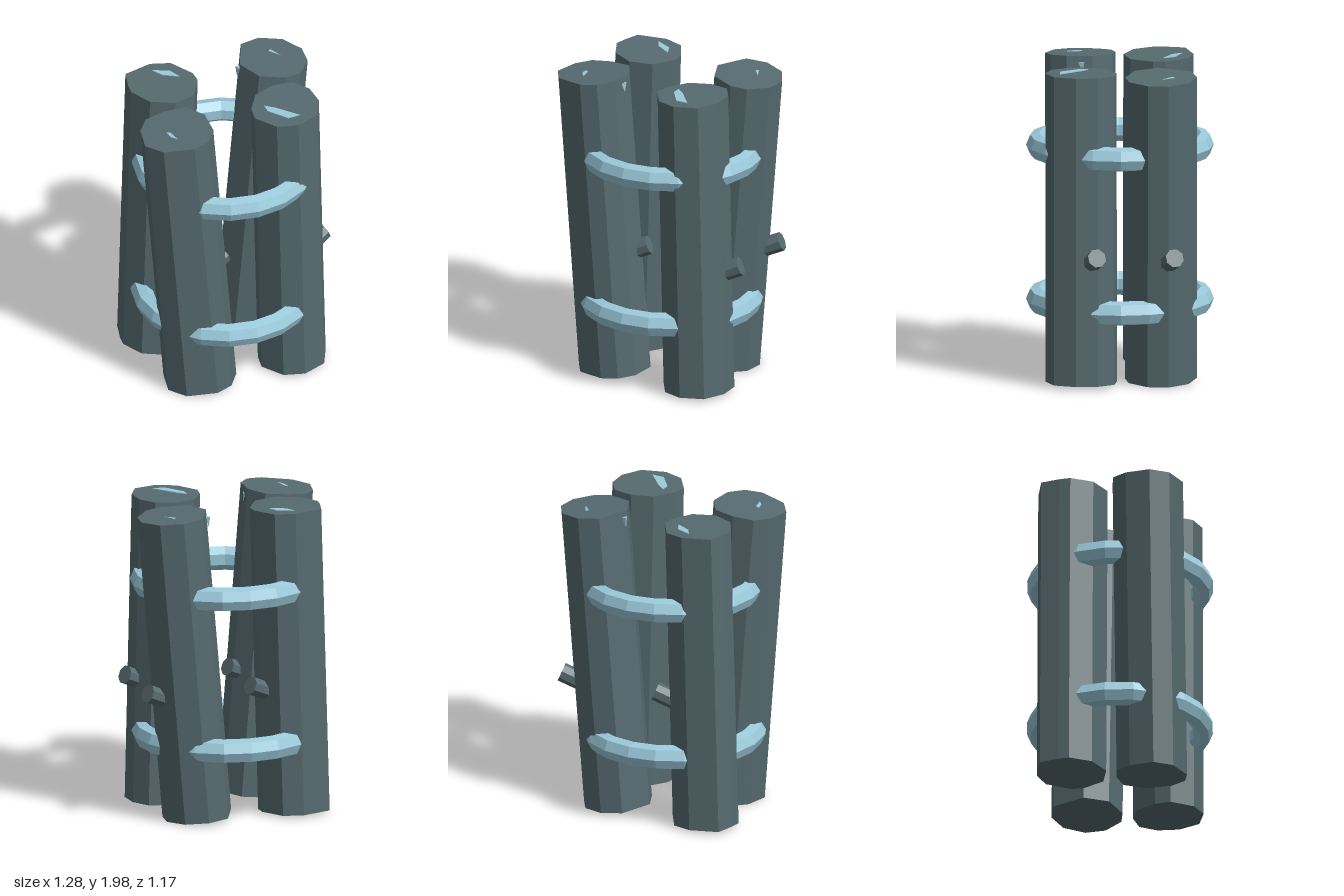
import * as THREE from 'three';

const wood = new THREE.MeshStandardMaterial({ color: 0x566b70, flatShading: true });
wood.name = 'slate wood';
const ice = new THREE.MeshStandardMaterial({ color: 0x9bcadb, flatShading: true });
ice.name = 'pale blue';

const UNIT = 1 / 285; // outline points are in 1/285 of a unit
const LENGTH = 1.95;

// Each log: bottom and top centre x, z, rough outline [x, z], patch on the cut top,
// and which side carries a small splinter (0 = none)
const LOGS = [
  { name: 'frontRight', x0: -0.275, x1: -0.43, z: 0.245, splinter: 1, pegTip: [-0.04, 0.15],
    outline: [[-64, 14], [-56, -30], [-36, -56], [1, -63], [41, -57], [64, -22], [62, 25], [42, 53], [12, 62], [-41, 46]],
    patch: [[-17, -4], [-10, 0], [-5, 23], [-14, 12]] },
  { name: 'frontLeft', x0: 0.35, x1: 0.305, z: 0.245, splinter: 0, pegTip: [0.63, 0.15],
    outline: [[-64, 15], [-60, -14], [-38, -49], [0, -63], [36, -58], [57, -29], [60, 10], [42, 49], [0, 64], [-37, 53]],
    patch: [[-36, -12], [-20, 1], [13, 38], [-10, 38], [-36, 5]] },
  { name: 'backRight', x0: -0.375, x1: -0.32, z: -0.245, splinter: 0, pegTip: [-0.04, -0.335],
    outline: [[-64, 6], [-62, -14], [-54, -48], [-2, -62], [34, -52], [60, -11], [61, 11], [39, 51], [-2, 63], [-43, 44]],
    patch: [[-6, -42], [24, -29], [34, -8], [5, -24]] },
  { name: 'backLeft', x0: 0.245, x1: 0.41, z: -0.255, splinter: -1, pegTip: [0.63, -0.335],
    outline: [[-63, 5], [-39, -53], [-1, -63], [39, -48], [62, -12], [59, 25], [32, 58], [2, 65], [-43, 48]],
    patch: [[1, -20], [6, -23], [17, -2], [6, -14]] },
];

// Upright prism from an [x, z] outline
function prism(points, height) {
  const shape = new THREE.Shape(points.map(([x, z]) => new THREE.Vector2(x * UNIT, -z * UNIT)));
  const geo = new THREE.ExtrudeGeometry(shape, { depth: height, bevelEnabled: false });
  return geo.rotateX(-Math.PI / 2);
}

function addMesh(parent, name, geometry, material) {
  const mesh = new THREE.Mesh(geometry, material);
  mesh.name = name;
  parent.add(mesh);
  return mesh;
}

function makeLog(d) {
  const log = new THREE.Group();
  log.name = d.name + 'Log';
  addMesh(log, 'trunk', prism(d.outline, LENGTH), wood);
  // Pale patch on the cut top
  addMesh(log, 'topPatch', prism(d.patch, 0.005), ice).position.y = LENGTH;
  // Small splinter in the side just under the rim
  if (d.splinter) {
    const splinter = addMesh(log, 'splinter', new THREE.CylinderGeometry(0.03, 0.008, 0.06, 3), ice);
    splinter.scale.x = 0.5;
    splinter.position.set(d.splinter * 0.219, LENGTH - 0.07, -0.01);
  }
  log.position.set(d.x0, 0.02, d.z);
  log.rotation.z = -Math.atan2(d.x1 - d.x0, LENGTH);
  return log;
}

// Branch stub pointing outward, upward and slightly back
function makePeg(d) {
  const dir = new THREE.Vector3(1, 0.45, -0.35).normalize();
  const length = 0.3;
  const peg = new THREE.Mesh(new THREE.CylinderGeometry(0.06, 0.06, length, 8), wood);
  peg.name = d.name + 'Peg';
  peg.quaternion.setFromUnitVectors(new THREE.Vector3(0, 1, 0), dir);
  peg.position.set(d.pegTip[0] - 0.03, 0.85, d.pegTip[1]).addScaledVector(dir, -length / 2);
  return peg;
}

export function createModel() {
  const model = new THREE.Group();
  model.name = 'logBundle';
  for (const d of LOGS) model.add(makeLog(d), makePeg(d));

  // Binding hoops around the bundle
  for (const [name, y, x] of [['lowerHoop', 0.48, -0.01], ['upperHoop', 1.46, 0]]) {
    const geo = new THREE.TorusGeometry(0.52, 0.066, 7, 20).scale(1, 1, 1.18).rotateX(-Math.PI / 2);
    addMesh(model, name, geo, ice).position.set(x, y, 0);
  }
  return model;
}
